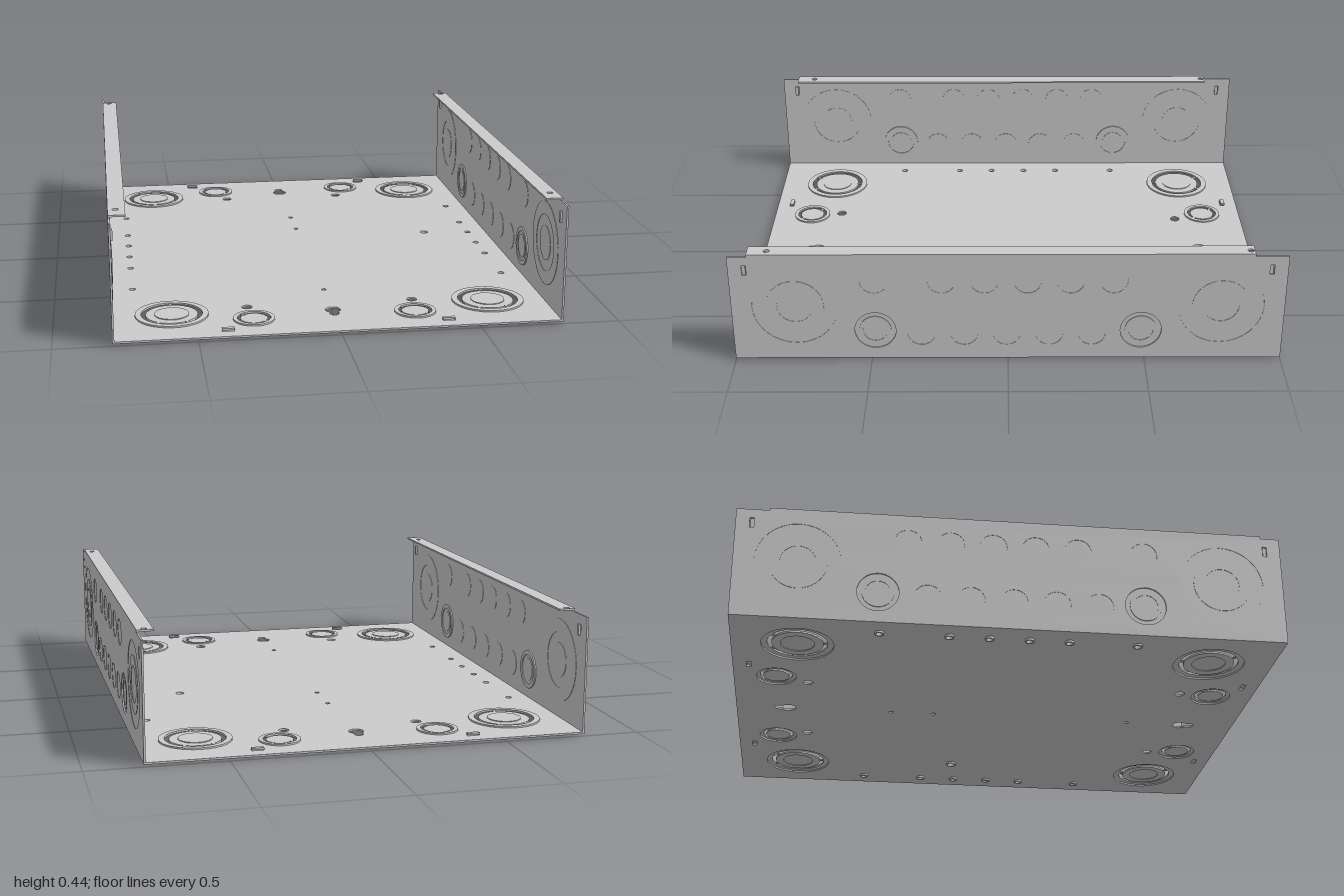
import * as THREE from 'three';

const T = 0.007, BASE_TOP = 0.015, HALF_W = 0.795;
const mat = new THREE.MeshStandardMaterial({ color: 0xcccccc });

const circle = (u, v, r) => new THREE.Path().absarc(u, v, r, 0, Math.PI * 2, true);

function rect(u0, v0, u1, v1, holes = []) {
  const s = new THREE.Shape();
  s.moveTo(u0, v0).lineTo(u1, v0).lineTo(u1, v1).lineTo(u0, v1).closePath();
  s.holes.push(...holes);
  return s;
}

function ring(u, v, outer, inner) {
  const s = new THREE.Shape().absarc(u, v, outer, 0, Math.PI * 2, false);
  if (inner) s.holes.push(circle(u, v, inner));
  return s;
}

// Sheet of metal in the group's own plane, starting at depth w
function sheet(group, name, shape, w = 0, depth = T) {
  const geo = new THREE.ExtrudeGeometry(shape, { depth, bevelEnabled: false, curveSegments: 16 });
  geo.translate(0, 0, w);
  const mesh = new THREE.Mesh(geo, mat);
  mesh.name = name;
  group.add(mesh);
  return mesh;
}

// Keyhole: large round end with a narrow slot towards dir
function keyhole(v, dir) {
  const p = new THREE.Path(), pts = [];
  for (let i = 0; i <= 20; i++) {
    const a = Math.PI / 2 + 0.65 + (i / 20) * (2 * Math.PI - 1.3);
    pts.push([0.028 * Math.cos(a), 0.028 * Math.sin(a)]);
  }
  for (let i = 0; i <= 10; i++) {
    const a = (i / 10) * Math.PI;
    pts.push([0.017 * Math.cos(a), 0.04 + 0.017 * Math.sin(a)]);
  }
  p.setFromPoints(pts.map(([x, y]) => new THREE.Vector2(x, v + dir * y)));
  return p;
}

function createBase() {
  const g = new THREE.Group();
  g.name = 'base';
  const holes = [keyhole(-0.795, -1), keyhole(0.785, 1)];
  const hole = (x, z, r) => holes.push(circle(x, z, r));
  for (const z of [-0.39, -0.22, 0.565]) hole(0, z, 0.009);
  for (const s of [-1, 1]) {
    hole(s * 0.25, -0.72, 0.019);
    hole(s * 0.305, 0.715, 0.019);
  }

  // Screw holes with short collars underneath
  const collar = (x, z, r) => {
    hole(x, z, r);
    sheet(g, 'screwCollar', ring(x, z, r + 0.005, r), T, BASE_TOP - T);
  };
  for (const s of [-1, 1])
    for (const z of [-0.47, -0.22, -0.075, 0.07, 0.215, 0.465]) collar(s * 0.712, z, 0.012);
  collar(0.53, -0.1, 0.016);

  // Raised concentric knockouts with an open slot, held by bridges
  const knockout = (x, z, outer, slotOut, slotIn, core, angles) => {
    hole(x, z, outer);
    sheet(g, 'knockoutOuterRing', ring(x, z, outer, slotOut), -0.006);
    sheet(g, 'knockoutInnerRing', ring(x, z, slotIn, core), -0.003);
    if (core) sheet(g, 'knockoutCore', ring(x, z, core), -0.006);
    for (const a of angles) {
      const b = sheet(g, 'knockoutBridge', rect(slotIn - 0.004, -0.006, slotOut + 0.004, 0.006), -0.004, T - 0.003);
      b.position.set(x, z, 0);
      b.rotation.z = a;
    }
  };
  for (const sx of [-1, 1])
    for (const sz of [-1, 1]) {
      const a = sz * Math.PI / 2;
      knockout(sx * 0.58, sz * 0.76, 0.132, 0.11, 0.094, 0.062, [a + Math.PI, a - 0.55, a + 0.55]);
      knockout(sx * 0.292, sz * 0.84, 0.075, 0.06, 0.049, 0, [Math.PI / 4, Math.PI * 1.25]);
      // Lanced tabs near the open ends
      const x = sx * 0.393, z = sz * 0.94;
      holes.push(rect(x - 0.022, z - 0.009, x + 0.022, z + 0.009));
      sheet(g, 'lancedTab', rect(x - 0.022, z - 0.009, x + 0.022, z + 0.007), -0.009);
    }

  sheet(g, 'basePlate', rect(-HALF_W + T, -1, HALF_W - T, 1, holes));
  g.rotation.x = Math.PI / 2;
  g.position.y = BASE_TOP;
  return g;
}

function createSide(side) {
  const g = new THREE.Group();
  g.name = side > 0 ? 'leftWall' : 'rightWall';
  const holes = [];

  // Pressed concentric rings, each stepped by its own inward amount
  const knockout = (z, y, radii, steps) => {
    holes.push(circle(z, y, radii[0]));
    radii.forEach((r, i) => sheet(g, 'wallKnockout', ring(z, y, r, radii[i + 1]), side * steps[i]));
  };
  for (const s of [-1, 1]) {
    knockout(s * 0.77, 0.23, [0.155, 0.105, 0.065], [0.0015, 0, 0.0015]);
    knockout(s * 0.483, 0.127, [0.075, 0.058, 0.045], [0.005, 0.002, 0.004]);
    // Lanced tab by each end
    const z = s * 0.942;
    holes.push(rect(z - 0.008, 0.36, z + 0.008, 0.4));
    sheet(g, 'wallTab', rect(z - 0.005, 0.36, z + 0.008, 0.4), side * 0.007);
  }
  // Two staggered rows of small knockouts
  for (const z of [0.483, 0.24, 0.085, -0.07, -0.225, -0.38]) knockout(z, 0.335, [0.05], [0.0015]);
  for (const z of [0.315, 0.16, 0.005, -0.15, -0.305]) knockout(z, 0.115, [0.05], [0.0015]);

  const wall = rect(-1, 0.008, 1, 0.435, holes);
  sheet(g, 'wallPlate', wall);
  sheet(g, 'wallUpperEdge', rect(-0.88, 0.435, 0.93, 0.445));
  g.rotation.y = -Math.PI / 2;
  g.position.x = side > 0 ? HALF_W : -HALF_W + T;
  return g;
}

function createFlange(side) {
  const g = new THREE.Group();
  g.name = side > 0 ? 'leftFlange' : 'rightFlange';
  const a = side * 0.735, b = side * (HALF_W - T);
  const holes = [-0.865, 0.86].map(z => circle(side * 0.768, z, 0.011));
  sheet(g, 'flangeStrip', rect(Math.min(a, b), -0.88, Math.max(a, b), 0.93, holes));
  g.rotation.x = Math.PI / 2;
  g.position.y = 0.445;
  return g;
}

export function createModel() {
  const model = new THREE.Group();
  model.name = 'enclosureChassis';
  model.add(createBase());
  for (const side of [-1, 1]) model.add(createSide(side), createFlange(side));
  return model;
}
